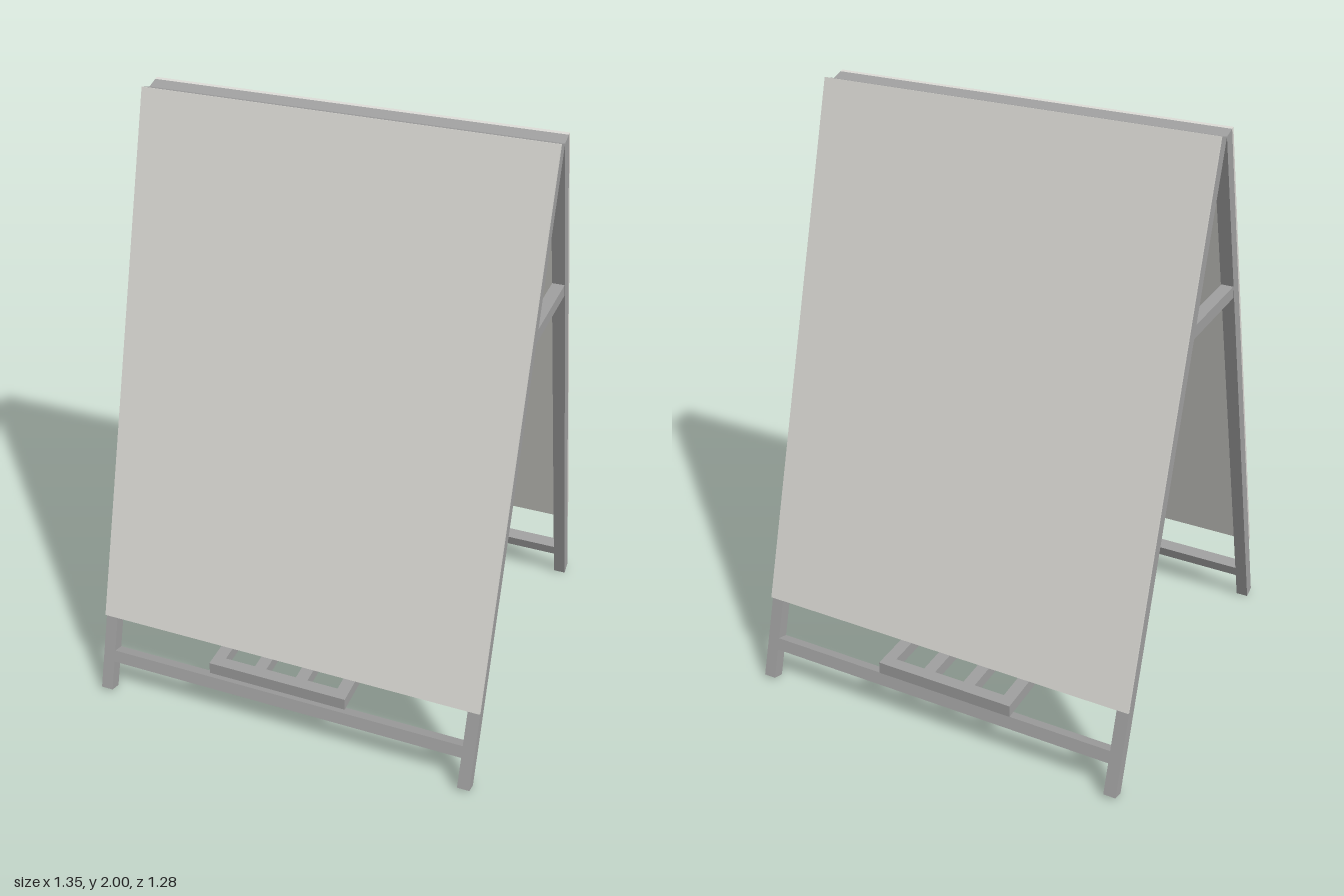
import * as THREE from 'three';

const frameMat = new THREE.MeshStandardMaterial({ color: 0xa0a0a0 });
frameMat.name = 'grey metal';
const panelMat = new THREE.MeshStandardMaterial({ color: 0xdad9d4 });
panelMat.name = 'off white board';

const BAR = 0.042;      // square tube size
const HALF = 0.673;     // half the overall width
const FOOT_Z = 0.6;     // inner edge of the feet
const TOP_Y = 1.985;    // inner edge of the frame tops
const LENGTH = Math.hypot(FOOT_Z, TOP_Y);
const LEAN = Math.atan2(FOOT_Z, TOP_Y);
const BOARD = 0.011;

// box given by its minimum and maximum corners
function box(name, mat, [x0, y0, z0], [x1, y1, z1]) {
  const mesh = new THREE.Mesh(new THREE.BoxGeometry(x1 - x0, y1 - y0, z1 - z0), mat);
  mesh.position.set((x0 + x1) / 2, (y0 + y1) / 2, (z0 + z1) / 2);
  mesh.name = name;
  return mesh;
}

// one leaning half: legs, rails and board, built upright and then tilted
function leaf(name, boardBottom) {
  const tilted = new THREE.Group();
  const inner = HALF - BAR;
  tilted.add(
    box('rightLeg', frameMat, [-HALF, 0, 0], [-inner, LENGTH, BAR]),
    box('leftLeg', frameMat, [inner, 0, 0], [HALF, LENGTH, BAR]),
    box('bottomRail', frameMat, [-inner, 0.107, 0], [inner, 0.149, BAR]),
    box('topRail', frameMat, [-inner, LENGTH - BAR, 0], [inner, LENGTH, BAR]),
    box('board', panelMat, [-HALF, boardBottom, BAR], [HALF, LENGTH, BAR + BOARD]),
  );
  tilted.rotation.x = -LEAN;
  tilted.position.z = FOOT_Z;
  const group = new THREE.Group();
  group.name = name;
  group.add(tilted);
  return group;
}

export function createModel() {
  const model = new THREE.Group();
  model.name = 'sandwichBoard';

  const front = leaf('frontLeaf', 0.277);
  const back = leaf('backLeaf', 0.293);
  back.rotation.y = Math.PI;
  model.add(front, back);

  // side braces joining the two halves
  for (const s of [-1, 1]) {
    const x = s * (HALF - BAR / 2), h = BAR / 2 - 0.001;
    model.add(box(s > 0 ? 'leftBrace' : 'rightBrace', frameMat,
      [x - h, 1.413, -0.178], [x + h, 1.455, 0.178]));
  }

  // slatted shelf resting on the bottom rails
  const shelf = new THREE.Group();
  shelf.name = 'shelf';
  const x0 = -0.275, x1 = 0.218, y0 = 0.155, y1 = 0.198, z0 = -0.598, z1 = 0.58;
  const step = (x1 - x0 - BAR) / 3;
  for (let i = 0; i < 4; i++) {
    const x = x0 + i * step;
    shelf.add(box('slat', frameMat, [x, y0, z0 + BAR], [x + BAR, y1, z1 - BAR]));
  }
  shelf.add(
    box('shelfFrontBar', frameMat, [x0, y0, z1 - BAR], [x1, y1, z1]),
    box('shelfBackBar', frameMat, [x0, y0, z0], [x1, y1, z0 + BAR]),
  );
  model.add(shelf);
  return model;
}
